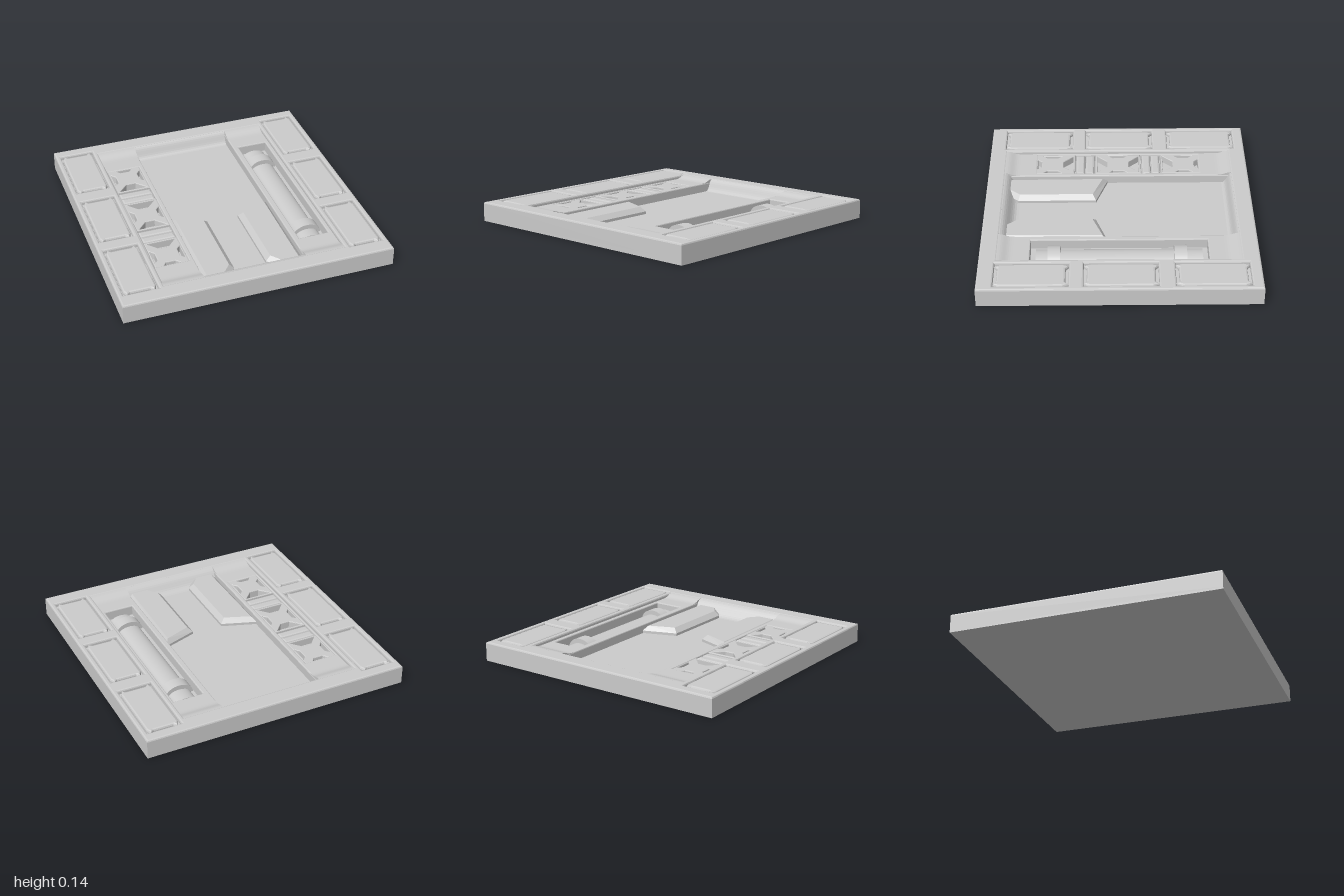
import * as THREE from 'three';

const material = new THREE.MeshStandardMaterial({ color: 0xcccccc });
const TOP = 0.145;

// [x, z] points seen from above, always ordered counter-clockwise
function ordered(pts) {
  const v = pts.map(([x, z]) => new THREE.Vector2(x, -z));
  return THREE.ShapeUtils.isClockWise(v) ? v.reverse() : v;
}
const rect = (x0, x1, z0, z1) => [[x0, z0], [x1, z0], [x1, z1], [x0, z1]];

// Plan outline raised from y0 to y1 with bevelled edges
function plate(pts, y0, y1, bevel, holes = [], bevelSegments = 2) {
  const shape = new THREE.Shape(ordered(pts));
  shape.holes = holes.map((h) => new THREE.Path(ordered(h)));
  const geo = new THREE.ExtrudeGeometry(shape, {
    depth: y1 - y0 - 2 * bevel, bevelEnabled: true, bevelThickness: bevel,
    bevelSize: bevel, bevelOffset: -bevel, bevelSegments,
  });
  return geo.translate(0, 0, bevel).rotateX(-Math.PI / 2).translate(0, y0, 0);
}

// Curved ramp rising from a floor level at z = foot to the deck, at the front (1) or rear (-1)
function ramp(width, level, foot, end) {
  const s = new THREE.Shape();
  const mid = (foot + 0.885) / 2, rim = TOP - 0.002;
  s.moveTo(foot, 0.01);
  s.lineTo(0.885, 0.01);
  s.lineTo(0.885, rim);
  s.bezierCurveTo(mid, rim, mid, level, foot, level);
  const geo = new THREE.ExtrudeGeometry(s, { depth: width, bevelEnabled: false, curveSegments: 10 });
  return geo.translate(0, 0, -width / 2).rotateY(-end * Math.PI / 2);
}

// Half-round bar lying along z
function halfRound(r, h, length) {
  const geo = new THREE.CylinderGeometry(r, r, length, 24, 1, false, -Math.PI / 2, Math.PI);
  return geo.rotateX(-Math.PI / 2).scale(1, h / r, 1);
}

export function createModel() {
  const model = new THREE.Group();
  function add(name, geo, x = 0, y = 0, z = 0) {
    const mesh = new THREE.Mesh(geo, material);
    mesh.name = name;
    mesh.position.set(x, y, z);
    model.add(mesh);
  }

  const padZ = [-0.655, -0.01, 0.62];
  const padX = 0.835, padW = 0.118, padL = 0.255;

  // Solid base and the pierced frame above it
  add('base', new THREE.BoxGeometry(2, 0.04, 2), 0, 0.02, 0);
  const holes = [rect(-0.672, 0.672, -0.87, 0.87)];
  for (const s of [-1, 1]) {
    for (const z of padZ) {
      const x = s * padX, m = 0.008;
      holes.push(rect(x - padW - m, x + padW + m, z - padL - m, z + padL + m));
    }
  }
  add('frame', plate(rect(-1, 1, -1, 1), 0.003, TOP, 0.012, holes));

  // Side pads with small raised corners at the ends
  const half = [
    [-padW, -padL + 0.035], [-padW + 0.02, -padL - 0.008], [-padW + 0.045, -padL + 0.014],
    [padW - 0.045, -padL + 0.014], [padW - 0.02, -padL - 0.008], [padW, -padL + 0.035],
  ];
  const padPts = [...half, ...half.map(([x, z]) => [-x, -z])];
  for (const s of [-1, 1]) {
    for (const z of padZ) {
      add('padRecess', new THREE.BoxGeometry(0.28, 0.07, 0.55), s * padX, 0.08, z);
      add('pad', plate(padPts, 0.1, 0.142, 0.014), s * padX, 0, z);
    }
  }

  // Lowered panels beside the centre, pierced for the ladder and the pipe
  const panelTop = 0.118;
  add('ladderPanel', plate(rect(-0.69, -0.375, -0.9, 0.9), 0.003, panelTop, 0.008,
    [rect(-0.658, -0.41, -0.63, 0.63)]));
  add('pipePanel', plate(rect(0.375, 0.69, -0.9, 0.9), 0.003, panelTop, 0.008,
    [rect(0.42, 0.645, -0.64, 0.64)]));
  for (const s of [-1, 1]) {
    for (const end of [-1, 1]) {
      add('panelRamp', ramp(0.305, panelTop, 0.76, end), s * 0.5305);
    }
  }

  // Sunken central floor, ramping up to the frame at both ends
  add('centreFloor', new THREE.BoxGeometry(0.77, 0.04, 1.6), 0, 0.03, -0.03);
  add('frontRamp', ramp(0.765, 0.05, 0.75, 1));
  add('rearRamp', ramp(0.765, 0.05, 0.8, -1));

  // Raised chamfered blocks with slanted rear faces
  for (const s of [-1, 1]) {
    const pts = [[0.12, 0.17], [0.378, 0.08], [0.378, 0.86], [0.2, 0.86], [0.12, 0.76]];
    add('guideBlock', plate(pts.map(([x, z]) => [s * x, z]), 0.012, 0.105, 0.035, [], 1));
  }

  // Braced ladder: three cells of crossed struts with double bars between them
  const ladderX = -0.534, w = 0.124;
  add('ladderFloor', new THREE.BoxGeometry(0.26, 0.04, 1.27), ladderX, 0.04, 0);
  [[-0.51, 0.13, 0.175], [0, 0.175, 0.175], [0.51, 0.175, 0.13]].forEach(([z, back, front]) => {
    const endHole = (sign, e) => [[-0.035, sign * 0.085], [0.035, sign * 0.085],
      [e - 0.07, sign * (e - 0.014)], [-(e - 0.07), sign * (e - 0.014)]];
    const sideHole = (s) => [[s * 0.085, -0.04], [s * 0.112, -0.07], [s * 0.112, 0.07], [s * 0.085, 0.04]];
    add('crossBrace', plate(rect(-w, w, -back, front), 0.05, 0.116, 0.006,
      [endHole(-1, back), endHole(1, front), sideHole(-1), sideHole(1)]), ladderX, 0, z);
  });
  for (const z of [-0.255, 0.255]) {
    for (const dz of [-0.036, 0.036]) {
      add('ladderBar', plate(rect(-w, w, -0.034, 0.034), 0.05, 0.113, 0.015), ladderX, 0, z + dz);
    }
  }

  // Pipe in the long slot, held by two clamps
  const pipeX = 0.5325;
  add('pipe', halfRound(0.085, 0.045, 1.2), pipeX, 0.04, 0);
  for (const z of [-0.44, 0.47]) {
    add('pipeClamp', halfRound(0.107, 0.08, 0.09), pipeX, 0.04, z);
  }
  return model;
}
